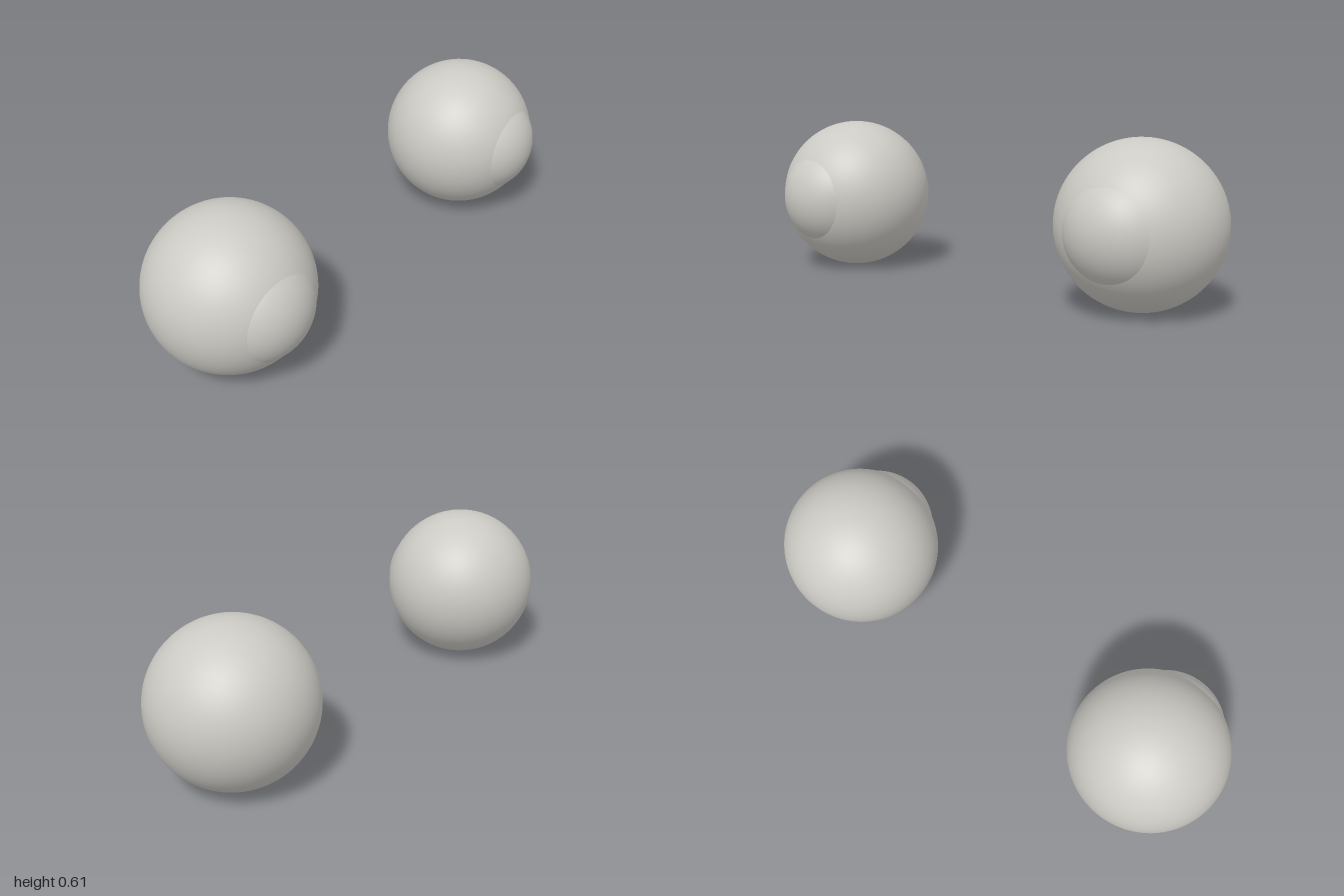
import * as THREE from 'three';

export function createModel() {
  const group = new THREE.Group();
  const eyeGrey = new THREE.MeshStandardMaterial({ color: 0xcccac4 });
  eyeGrey.name = 'warm grey';

  // Pole of each sphere turned to face the front
  const ballGeometry = new THREE.SphereGeometry(0.305, 96, 64).rotateX(Math.PI / 2);
  // Bulging cap, its rim sunk slightly into the eyeball
  const corneaGeometry = new THREE.SphereGeometry(0.219, 80, 32, 0, Math.PI * 2, 0, 0.98).rotateX(Math.PI / 2);

  for (const [name, side] of [['left', 1], ['right', -1]]) {
    const eye = new THREE.Group();
    eye.name = name + 'Eye';
    eye.position.set(side * 0.695, 0.305, -0.012);

    const ball = new THREE.Mesh(ballGeometry, eyeGrey);
    ball.name = name + 'Eyeball';

    // Gaze turned a touch outward and down
    const cornea = new THREE.Mesh(corneaGeometry, eyeGrey);
    cornea.name = name + 'Cornea';
    cornea.position.set(side * 0.005, -0.002, 0.111);
    cornea.rotation.set(0.02, side * 0.045, 0);

    eye.add(ball, cornea);
    group.add(eye);
  }
  return group;
}
